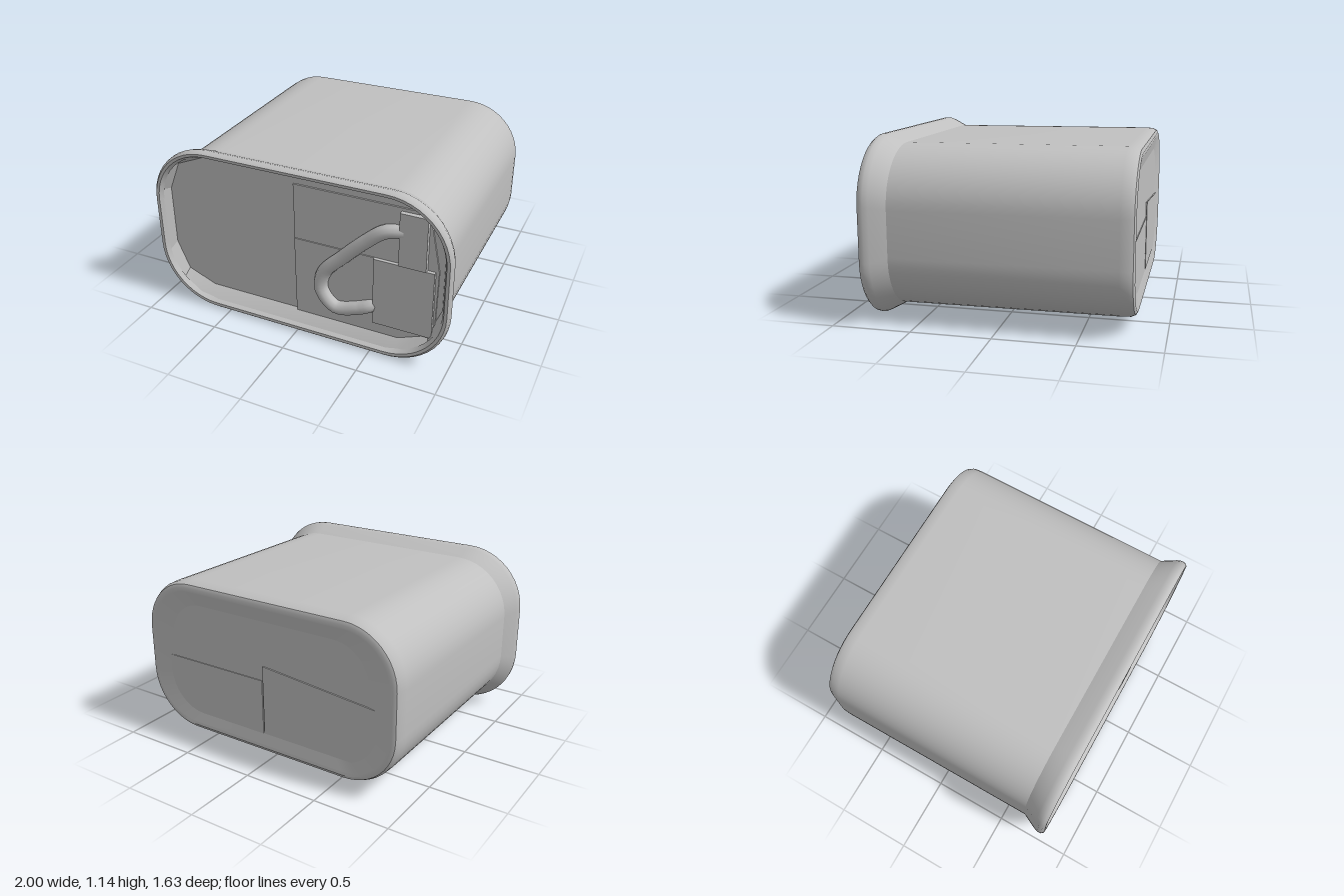
import * as THREE from 'three';
import { toCreasedNormals } from 'three/addons/utils/BufferGeometryUtils.js';

// Rounded rectangle outline, counter-clockwise seen from the front
function outline(hw, y0, y1, r, z, steps) {
  const pts = [];
  const corners = [[hw - r, y1 - r], [r - hw, y1 - r], [r - hw, y0 + r], [hw - r, y0 + r]];
  corners.forEach(([cx, cy], q) => {
    for (let i = 0; i <= steps; i++) {
      const a = (q + i / steps) * Math.PI / 2;
      pts.push([cx + r * Math.cos(a), cy + r * Math.sin(a), z]);
    }
  });
  return pts;
}

// Skin over a row of outlines, with optional flat ends
function loft(sections, { steps = 12, capBack = false, capFront = false, crease = 0.6 } = {}) {
  const rows = sections.map((s) => outline(...s, steps));
  const middle = (s) => rows[0].map(() => [0, (s[1] + s[2]) / 2, s[4]]);
  if (capBack) rows.unshift(middle(sections[0]));
  if (capFront) rows.push(middle(sections[sections.length - 1]));
  const n = rows[0].length;
  const index = [];
  for (let i = 0; i < rows.length - 1; i++) {
    for (let j = 0; j < n; j++) {
      const k = (j + 1) % n;
      const a = i * n + j, b = i * n + k, c = (i + 1) * n + k, d = (i + 1) * n + j;
      index.push(a, b, c, a, c, d);
    }
  }
  const geo = new THREE.BufferGeometry();
  geo.setAttribute('position', new THREE.Float32BufferAttribute(rows.flat(2), 3));
  geo.setIndex(index);
  return toCreasedNormals(geo, crease);
}

// Flat plate cut from a polygon
function plate(points, depth) {
  const shape = new THREE.Shape(points.map(([x, y]) => new THREE.Vector2(x, y)));
  return new THREE.ExtrudeGeometry(shape, { depth, bevelEnabled: false });
}

export function createModel() {
  const model = new THREE.Group();
  const metal = new THREE.MeshStandardMaterial({ color: 0xc0c0c0 });
  metal.name = 'grey metal';

  const add = (name, geo, x = 0, y = 0, z = 0) => {
    const mesh = new THREE.Mesh(geo, metal);
    mesh.name = name;
    mesh.position.set(x, y, z);
    model.add(mesh);
  };

  // Can body with softly rounded back edge
  add('body', loft([
    [0.885, 0.125, 1.035, 0.31, -0.815],
    [0.905, 0.105, 1.06, 0.33, -0.818],
    [0.927, 0.085, 1.08, 0.35, -0.808],
    [0.94, 0.073, 1.093, 0.36, -0.78],
    [0.945, 0.07, 1.096, 0.365, -0.73],
    [0.945, 0.065, 1.085, 0.365, 0.65],
  ]));

  // Slightly sunken back with two pressed panels
  add('back', loft([
    [0.74, 0.22, 0.95, 0.24, -0.796],
    [0.885, 0.125, 1.035, 0.31, -0.815],
  ], { capBack: true, crease: 0.05 }));
  add('backPanelRight', plate([
    [-0.84, 0.32], [-0.72, 0.2], [0.01, 0.2], [0.01, 0.66], [-0.84, 0.58],
  ], 0.02), 0, 0, -0.804);
  add('backPanelLeft', plate([
    [0.84, 0.32], [0.84, 0.56], [0.02, 0.56], [0.02, 0.16], [0.72, 0.2],
  ], 0.02), 0, 0, -0.801);

  // Flared collar with a rolled lip that turns inwards
  add('rim', loft([
    [0.945, 0.065, 1.085, 0.365, 0.65],
    [0.99, 0.013, 1.13, 0.39, 0.745],
    [1.0, 0.0, 1.14, 0.40, 0.775],
    [0.998, 0.003, 1.138, 0.40, 0.80],
    [0.985, 0.018, 1.126, 0.39, 0.816],
    [0.965, 0.038, 1.108, 0.37, 0.815],
    [0.95, 0.055, 1.092, 0.36, 0.785],
  ], { crease: 0.8 }));

  // Faceted wall down to the sunken lid
  add('lid', loft([
    [0.952, 0.053, 1.094, 0.29, 0.79],
    [0.93, 0.12, 1.06, 0.27, 0.728],
  ], { steps: 2, capFront: true, crease: 0.3 }));

  // Half of the lid standing a little higher, with a pressed panel on it
  add('raisedLidHalf', plate([
    [-0.03, 0.10], [0.78, 0.10], [0.89, 0.22], [0.90, 0.65], [0.83, 1.02], [-0.03, 1.02],
  ], 0.02), 0, 0, 0.718);
  add('lidPanel', new THREE.BoxGeometry(0.91, 0.46, 0.02), 0.425, 0.42, 0.734);

  // Raised plate over the right part of the ring
  add('ringPlate', new THREE.BoxGeometry(0.38, 0.46, 0.05), 0.69, 0.42, 0.735);

  // Pull ring, sinking under the plate and tab on its right side
  const path = new THREE.CatmullRomCurve3([
    [0.68, 0.865, 0.725], [0.57, 0.85, 0.75], [0.45, 0.755, 0.755],
    [0.31, 0.615, 0.755], [0.175, 0.465, 0.755], [0.155, 0.345, 0.755],
    [0.25, 0.235, 0.755], [0.40, 0.265, 0.75], [0.48, 0.30, 0.735],
    [0.52, 0.32, 0.68],
  ].map((p) => new THREE.Vector3(...p)));
  add('pullRing', new THREE.TubeGeometry(path, 48, 0.045, 10));

  // Tab that fixes the ring to the lid
  add('ringTab', new THREE.BoxGeometry(0.17, 0.35, 0.08), 0.745, 0.825, 0.728);

  return model;
}
